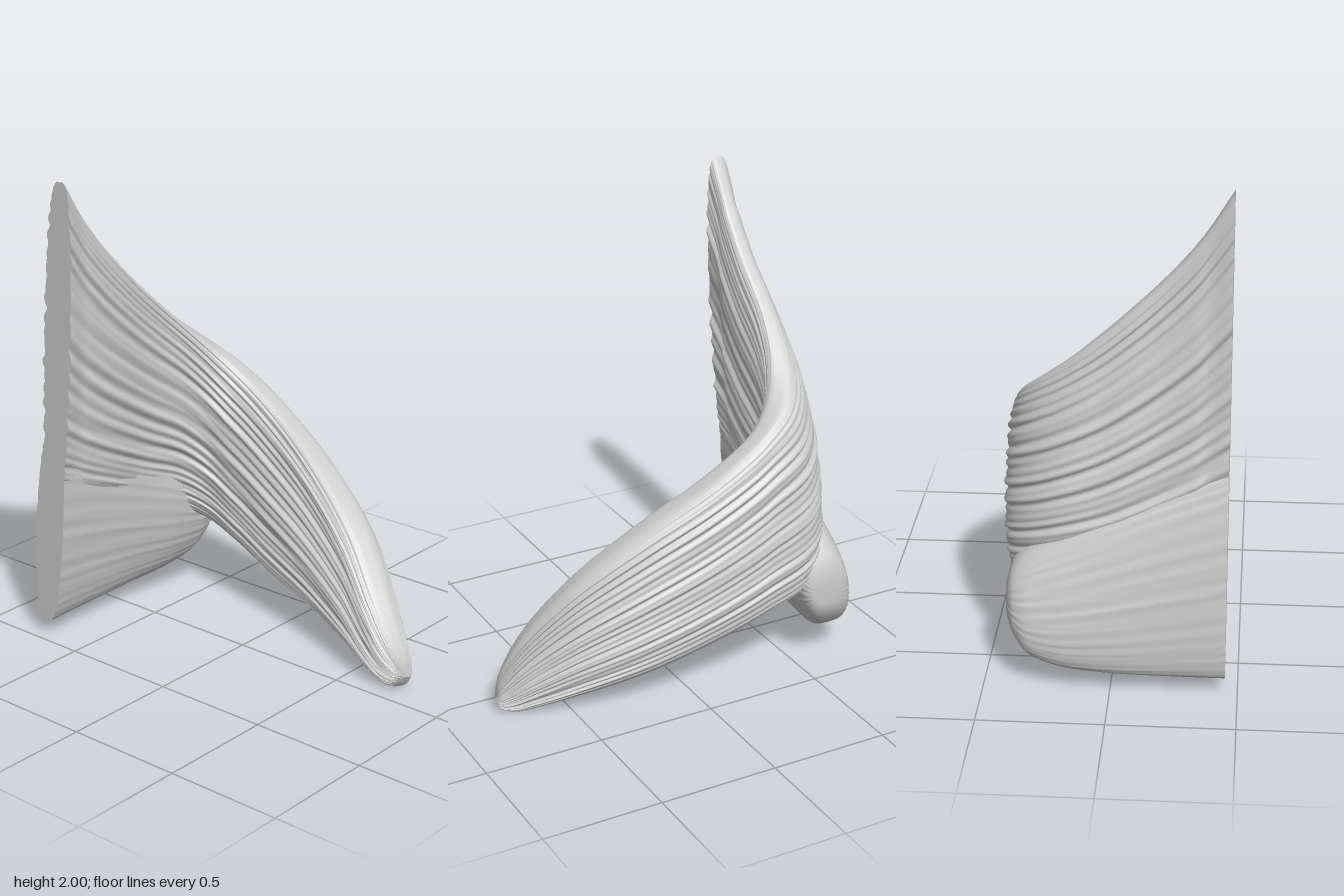
import * as THREE from 'three';

const material = new THREE.MeshStandardMaterial({ color: 0xcccccc, roughness: 0.8, side: THREE.DoubleSide });

// Grooves running along the fibres: p goes round the section, t along the length.
function fibre(p, t) {
  const a = Math.abs(Math.sin(17 * p + 1.5 * Math.sin(2 * p) + 1.5 * t));
  const b = Math.abs(Math.sin(29 * p + 2 * Math.sin(3 * p + 1) - 2.5 * t));
  const c = Math.sin(43 * p + 3 * Math.sin(4 * t + p));
  return 0.5 * a + 0.5 * b + 0.2 * c - 0.6;
}

// Loft through upright sections. Station: [top xyz], [bottom xyz], [half thickness, outward bow, facing angle]
function loft(stations, { rows, cols, groove, blunt }) {
  const [top, bottom, shape] = [0, 1, 2].map(
    (k) => new THREE.CatmullRomCurve3(stations.map((s) => new THREE.Vector3(...s[k])), false, 'centripetal'));
  const pos = [], index = [];
  // All three curves share the station parameter; rows crowd towards the rounded tip
  for (let i = 0; i <= rows; i++) {
    const t = Math.pow(i / rows, 1.3);
    const a = top.getPoint(t), b = bottom.getPoint(t), s = shape.getPoint(t);
    const half = Math.max(s.x, 0);
    const out = new THREE.Vector3(Math.cos(s.z), 0, -Math.sin(s.z));
    for (let j = 0; j < cols; j++) {
      const p = (j / cols) * Math.PI * 2;
      const sin = Math.sin(p);
      const width = Math.sign(sin) * Math.pow(Math.abs(sin), blunt);
      const ridge = groove * fibre(p, t) * Math.min(1, half / 0.07) * sin;
      const v = a.clone().lerp(b, (1 - Math.cos(p)) / 2);
      v.addScaledVector(out, half * width + s.y * Math.abs(sin) + ridge);
      pos.push(v.x, v.y, v.z);
    }
  }
  for (let i = 0; i < rows; i++) {
    for (let j = 0; j < cols; j++) {
      const k = (j + 1) % cols;
      const a = i * cols + j, b = i * cols + k, c = a + cols, d = b + cols;
      index.push(a, c, b, b, c, d);
    }
  }
  const body = new THREE.BufferGeometry();
  body.setAttribute('position', new THREE.Float32BufferAttribute(pos, 3));
  body.setIndex(index);
  body.computeVertexNormals();

  // Flat cap over the last section
  const capIndex = [0, cols - 1, 1];
  for (let j = 1; j < cols / 2 - 1; j++) {
    const a = j, b = j + 1, c = cols - j, d = cols - j - 1;
    capIndex.push(a, c, b);
    if (b !== d) capIndex.push(b, c, d);
  }
  const cap = new THREE.BufferGeometry();
  cap.setAttribute('position', new THREE.Float32BufferAttribute(pos.slice(rows * cols * 3), 3));
  cap.setIndex(capIndex);
  cap.computeVertexNormals();
  return { body, cap };
}

function addPart(group, name, stations, options) {
  const { body, cap } = loft(stations, options);
  const part = new THREE.Group();
  part.name = name;
  for (const [label, geometry] of [['Surface', body], ['CutFace', cap]]) {
    const mesh = new THREE.Mesh(geometry, material);
    mesh.name = name + label;
    part.add(mesh);
  }
  group.add(part);
}

export function createModel() {
  const group = new THREE.Group();
  group.name = 'curvedMuscle';
  const back = Math.PI / 2;

  // Main sheet: from the forward tip, round the bend, fanning out to the flat cut
  addPart(group, 'fibreSheet', [
    [[0.10, 0.07, 0.78], [0.10, 0.07, 0.78], [0, 0, -0.45]],
    [[0.095, 0.14, 0.765], [0.11, 0.02, 0.75], [0.04, 0, -0.45]],
    [[0.095, 0.23, 0.72], [0.12, 0.003, 0.70], [0.062, 0, -0.45]],
    [[0.12, 0.37, 0.63], [0.15, 0.02, 0.61], [0.083, 0.005, -0.42]],
    [[0.20, 0.585, 0.45], [0.21, 0.065, 0.45], [0.10, 0.012, -0.35]],
    [[0.28, 0.785, 0.20], [0.28, 0.13, 0.20], [0.105, 0.015, -0.2]],
    [[0.34, 0.96, -0.08], [0.32, 0.21, -0.08], [0.10, 0.01, 0]],
    [[0.335, 1.10, -0.30], [0.345, 0.29, -0.30], [0.095, 0.008, 0.2]],
    [[0.27, 1.20, -0.42], [0.33, 0.36, -0.48], [0.105, 0.02, 0.7]],
    [[0.15, 1.32, -0.50], [0.22, 0.42, -0.585], [0.095, 0.02, 1.2]],
    [[0.00, 1.46, -0.54], [0.02, 0.47, -0.635], [0.08, 0.005, 1.5]],
    [[-0.20, 1.655, -0.545], [-0.20, 0.54, -0.64], [0.075, 0, back]],
    [[-0.33, 1.81, -0.55], [-0.33, 0.58, -0.645], [0.072, 0, back]],
    [[-0.45, 2.00, -0.555], [-0.45, 0.62, -0.645], [0.072, 0, back]],
  ], { rows: 100, cols: 300, groove: 0.018, blunt: 0.55 });

  // Lower lobe: smoother bundle behind the bend, from a rounded knob fanning out to the cut
  addPart(group, 'lowerLobe', [
    [[0.415, 0.35, -0.60], [0.415, 0.35, -0.60], [0, 0, back]],
    [[0.41, 0.42, -0.59], [0.41, 0.27, -0.615], [0.07, 0, back]],
    [[0.385, 0.49, -0.585], [0.38, 0.205, -0.645], [0.11, 0, back]],
    [[0.32, 0.56, -0.58], [0.32, 0.14, -0.675], [0.128, 0, back]],
    [[0.20, 0.64, -0.595], [0.20, 0.10, -0.70], [0.122, 0, back]],
    [[0.02, 0.74, -0.62], [0.02, 0.08, -0.715], [0.10, 0.003, back]],
    [[-0.22, 0.86, -0.63], [-0.22, 0.07, -0.715], [0.083, 0.005, back]],
    [[-0.45, 0.96, -0.63], [-0.45, 0.065, -0.712], [0.077, 0.005, back]],
  ], { rows: 60, cols: 120, groove: 0.007, blunt: 0.6 });

  return group;
}
